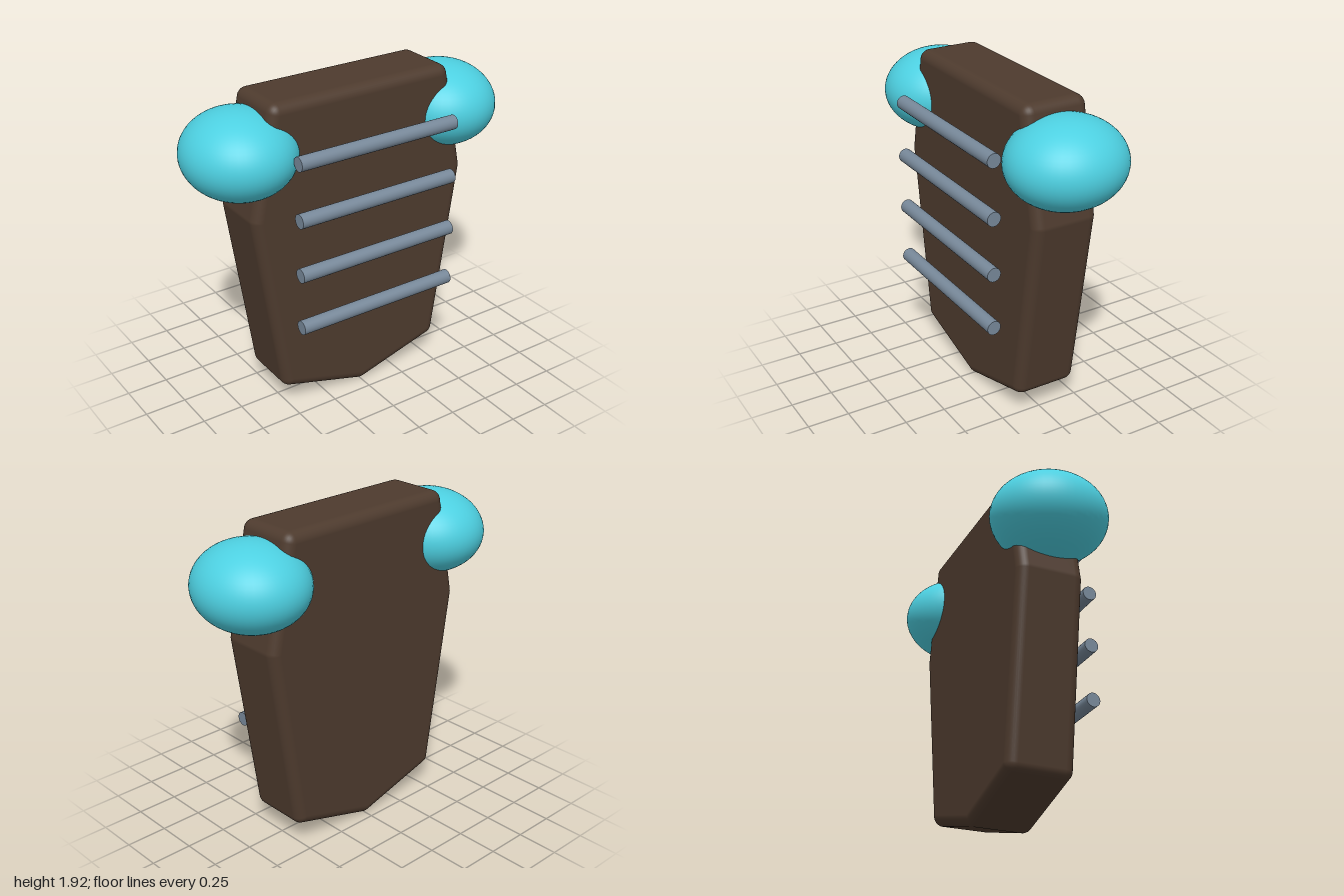
import * as THREE from 'three';

// Convex outline (counter-clockwise, seen from the front) swept by a ball:
// a slab whose edges and corners are all rounded with radius r.
function roundedSlab(corners, zBack, zFront, r, arcSteps = 8, edgeSteps = 8) {
  const n = corners.length;
  const edgeAngle = (i) => {
    const a = corners[i % n], b = corners[(i + 1) % n];
    return Math.atan2(b[1] - a[1], b[0] - a[0]) - Math.PI / 2;
  };
  const outline = [];
  for (let i = 0; i < n; i++) {
    const from = edgeAngle(i + n - 1);
    let turn = edgeAngle(i) - from;
    while (turn < 0) turn += Math.PI * 2;
    while (turn > Math.PI * 2) turn -= Math.PI * 2;
    for (let s = 0; s <= arcSteps; s++) outline.push([corners[i], from + turn * s / arcSteps]);
  }

  const position = [], normal = [], index = [];
  const ring = (phi, zCentre) => {
    for (const [c, a] of outline) {
      const nx = Math.cos(phi) * Math.cos(a), ny = Math.cos(phi) * Math.sin(a), nz = Math.sin(phi);
      position.push(c[0] + r * nx, c[1] + r * ny, zCentre + r * nz);
      normal.push(nx, ny, nz);
    }
  };
  for (let s = 0; s <= edgeSteps; s++) ring(-Math.PI / 2 * (1 - s / edgeSteps), zBack + r);
  for (let s = 0; s <= edgeSteps; s++) ring(Math.PI / 2 * s / edgeSteps, zFront - r);

  const m = outline.length, rings = 2 * (edgeSteps + 1);
  for (let k = 0; k < rings - 1; k++) {
    for (let j = 0; j < m; j++) {
      const a = k * m + j, b = k * m + (j + 1) % m;
      index.push(a, b, b + m, a, b + m, a + m);
    }
  }
  // Flat back and front faces
  const last = (rings - 1) * m;
  for (let j = 1; j < m - 1; j++) {
    index.push(0, j + 1, j, last, last + j, last + j + 1);
  }

  const geometry = new THREE.BufferGeometry();
  geometry.setAttribute('position', new THREE.Float32BufferAttribute(position, 3));
  geometry.setAttribute('normal', new THREE.Float32BufferAttribute(normal, 3));
  geometry.setIndex(index);
  return geometry;
}

export function createModel() {
  const model = new THREE.Group();
  const add = (name, geometry, color) => {
    const mesh = new THREE.Mesh(geometry, new THREE.MeshStandardMaterial({ color }));
    mesh.name = name;
    model.add(mesh);
    return mesh;
  };

  // Tapered torso slab with a shallow point at the bottom
  const corners = [
    [0, 0.06], [0.49, 0.2], [0.65, 1.27], [0.53, 1.86],
    [-0.53, 1.86], [-0.65, 1.27], [-0.49, 0.2],
  ];
  add('torso', roundedSlab(corners, -0.217, 0.18, 0.06), 0x4e3b2e);

  // Flattened shoulder balls
  for (const [name, side] of [['leftShoulder', 1], ['rightShoulder', -1]]) {
    const shoulder = add(name, new THREE.SphereGeometry(1, 48, 32), 0x4dd0e1);
    shoulder.scale.set(0.32, 0.25, 0.34);
    shoulder.position.set(side * 0.68, 1.62, -0.018);
  }

  // Horizontal bars floating in front of the chest
  const barGeometry = new THREE.CylinderGeometry(0.042, 0.042, 1.03, 24).rotateZ(Math.PI / 2);
  for (let i = 0; i < 4; i++) {
    add(`chestBar${i + 1}`, barGeometry, 0x778899).position.set(0, 1.635 - i * 0.333, 0.316);
  }

  return model;
}
